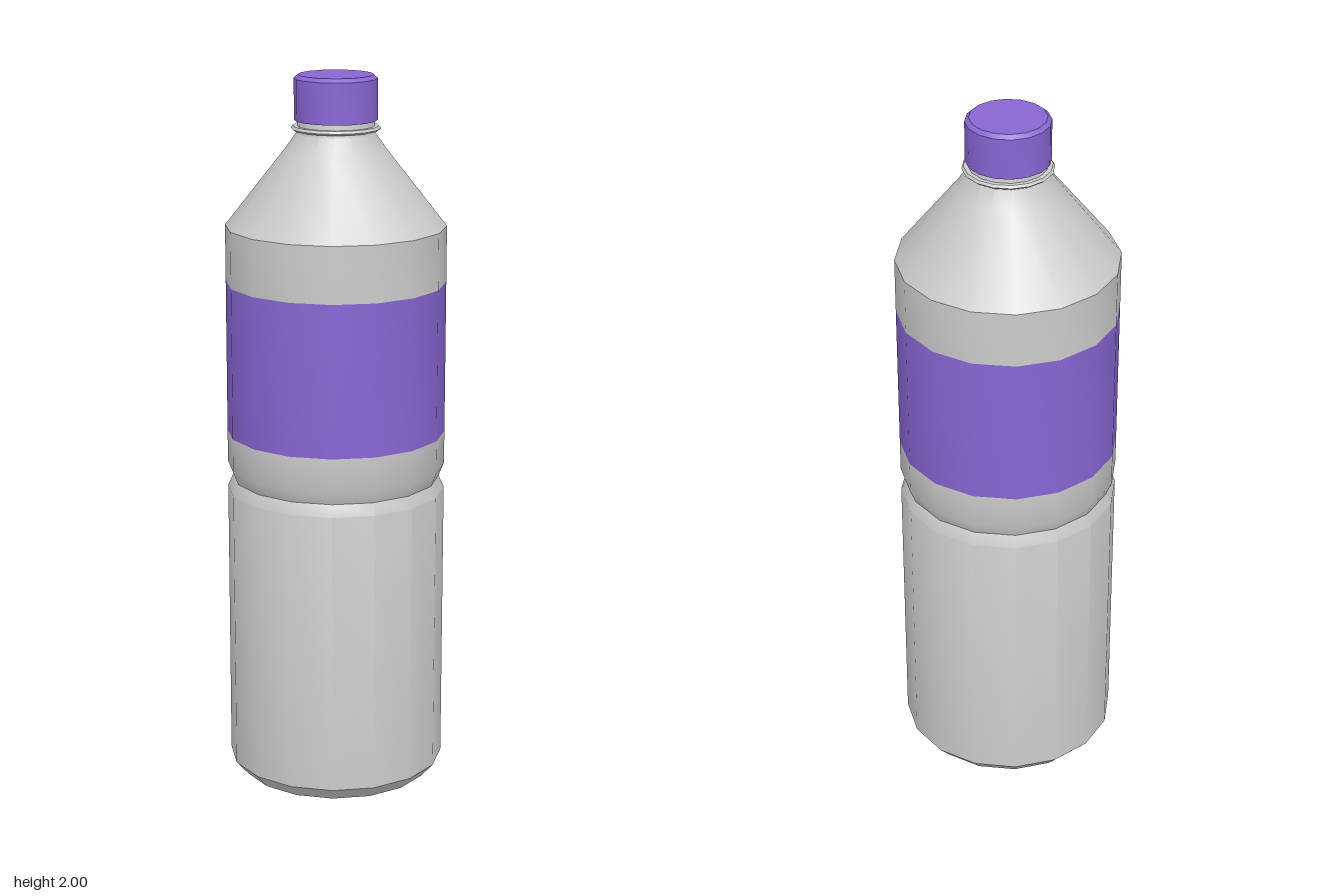
import * as THREE from 'three';
import { toCreasedNormals } from 'three/addons/utils/BufferGeometryUtils.js';

const SIDES = 16;

export function createModel() {
  const bottle = new THREE.Group();
  bottle.name = 'bottle';
  const grey = new THREE.MeshStandardMaterial({ color: 0xcccccc });
  const purple = new THREE.MeshStandardMaterial({ color: 0x8866d4 });

  // Turns a [radius, height] profile, listed bottom to top, around the y axis
  function turned(name, profile, material) {
    const points = profile.map(([r, y]) => new THREE.Vector2(r, y));
    const geometry = toCreasedNormals(new THREE.LatheGeometry(points, SIDES), THREE.MathUtils.degToRad(32));
    const mesh = new THREE.Mesh(geometry, material);
    mesh.name = name;
    bottle.add(mesh);
  }

  // Lower body: flat base, chamfer, wall, and the groove up to the label
  turned('lowerBody', [
    [0, 0], [0.27, 0], [0.305, 0.04], [0.305, 0.84],
    [0.29, 0.873], [0.305, 0.91], [0.305, 1.005],
  ], grey);

  // Label band, flush with the wall
  turned('label', [[0.305, 1.005], [0.305, 1.43]], purple);

  // Upper wall, sloping shoulder and neck
  turned('shoulder', [
    [0.305, 1.43], [0.305, 1.587], [0.14, 1.797], [0.108, 1.842], [0.104, 1.885],
  ], grey);

  // Thin flange around the neck
  turned('neckRing', [[0.1, 1.85], [0.118, 1.85], [0.123, 1.855], [0.118, 1.862], [0.1, 1.862]], grey);

  // Closed screw cap with a bevelled top edge
  turned('cap', [[0, 1.877], [0.114, 1.877], [0.114, 1.99], [0.103, 2], [0, 2]], purple);

  return bottle;
}
